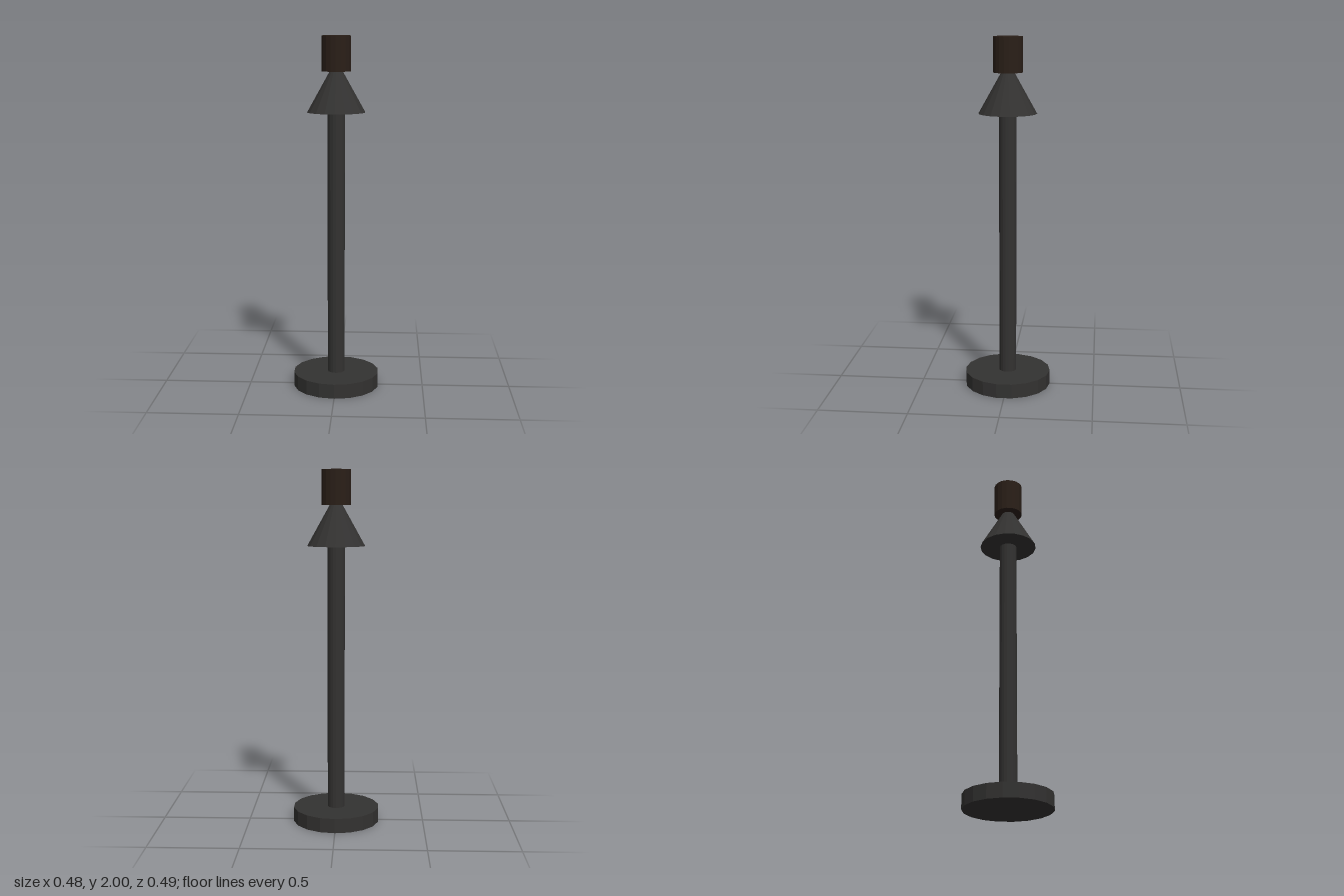
import * as THREE from 'three';

const SIDES = 18;

export function createModel() {
  const group = new THREE.Group();
  const iron = new THREE.MeshStandardMaterial({ color: 0x333231, flatShading: true });
  const wood = new THREE.MeshStandardMaterial({ color: 0x2a1f18, flatShading: true });

  // Upright round part spanning two heights
  function addRound(name, topRadius, bottomRadius, y0, y1, material) {
    const geometry = new THREE.CylinderGeometry(topRadius, bottomRadius, y1 - y0, SIDES);
    const mesh = new THREE.Mesh(geometry, material);
    mesh.name = name;
    mesh.position.y = (y0 + y1) / 2;
    group.add(mesh);
  }

  addRound('base', 0.245, 0.245, 0, 0.082, iron);
  addRound('pole', 0.049, 0.049, 0.082, 1.58, iron);
  // The cone's tip ends inside the cap
  addRound('cone', 0, 0.163, 1.58, 1.87, iron);
  addRound('cap', 0.082, 0.082, 1.805, 2, wood);

  return group;
}
